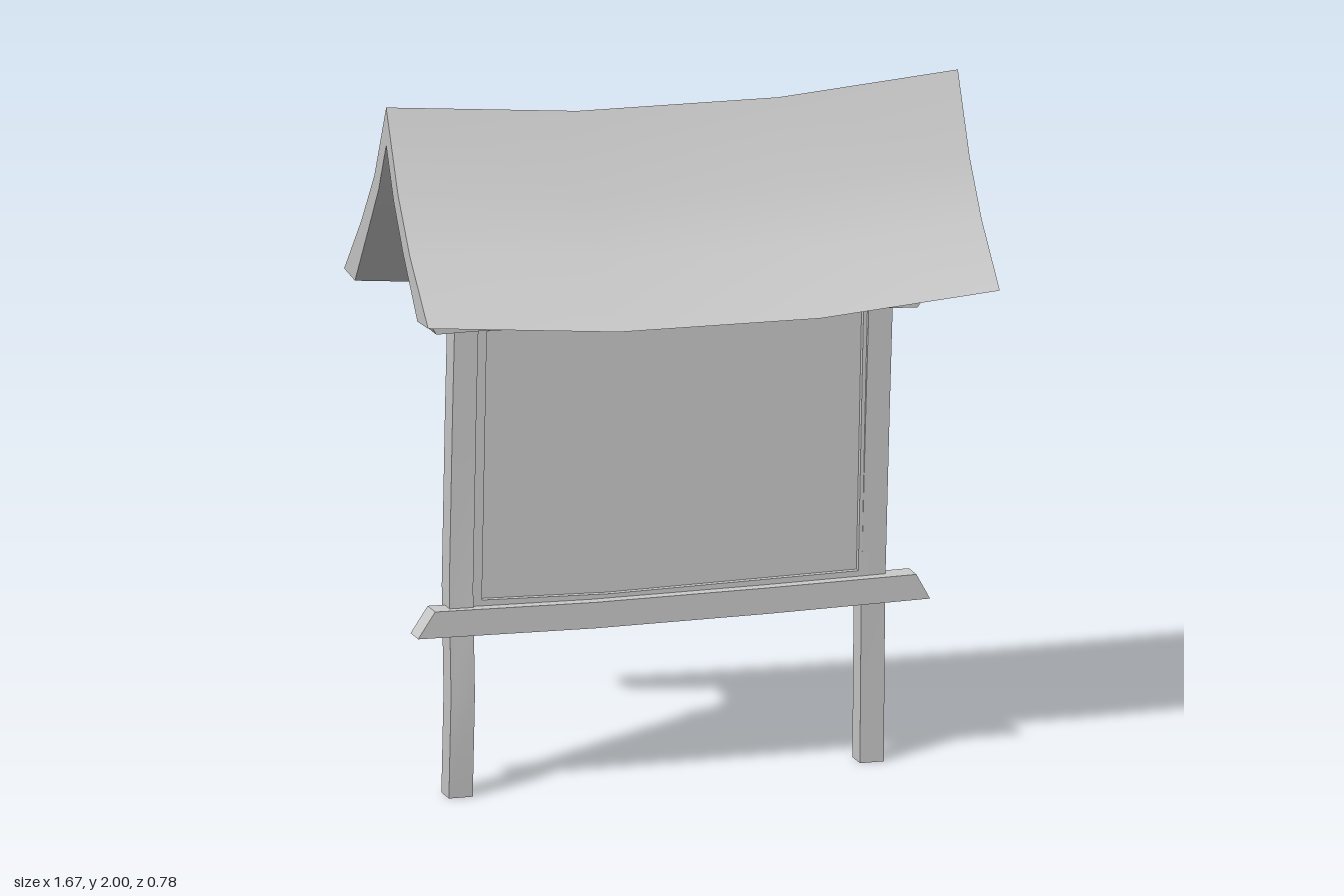
import * as THREE from 'three';
import { toCreasedNormals } from 'three/addons/utils/BufferGeometryUtils.js';

const material = new THREE.MeshStandardMaterial({ color: 0xcccccc });

// Skin matching rings of [x, y, z] points, closing both ends.
function loft(name, rings) {
  const pos = [];
  const n = rings[0].length;
  const quad = (a, b, c, d) => pos.push(...a, ...b, ...c, ...a, ...c, ...d);
  for (let r = 0; r < rings.length - 1; r++) {
    for (let i = 0; i < n; i++) {
      const j = (i + 1) % n;
      quad(rings[r][i], rings[r][j], rings[r + 1][j], rings[r + 1][i]);
    }
  }
  const first = rings[0], last = rings[rings.length - 1];
  for (let i = 0; i < n / 2 - 1; i++) {
    const ids = [i, i + 1, n - 2 - i, n - 1 - i];
    quad(...ids.map(k => last[k]));
    quad(...ids.reverse().map(k => first[k]));
  }
  const geometry = new THREE.BufferGeometry();
  geometry.setAttribute('position', new THREE.Float32BufferAttribute(pos, 3));
  const mesh = new THREE.Mesh(toCreasedNormals(geometry, 0.5), material);
  mesh.name = name;
  return mesh;
}

// Bar along x; stations are [xBottom, xTop, yBottom, yTop].
const barX = (name, stations, z0, z1) => loft(name, stations.map(([xb, xt, yb, yt]) =>
  [[xb, yb, z0], [xt, yt, z0], [xt, yt, z1], [xb, yb, z1]]));

// Upright bar; stations are [y, x centre, z centre].
const barY = (name, stations, w, d) => loft(name, stations.map(([y, x, z]) =>
  [[x - w / 2, y, z - d / 2], [x - w / 2, y, z + d / 2], [x + w / 2, y, z + d / 2], [x + w / 2, y, z - d / 2]]));

export function createModel() {
  const group = new THREE.Group();

  // Sagging gable roof: one cross-section of [z, y], lowered along the ridge
  const section = [
    [-0.39, 1.435], [-0.23, 1.615], [-0.11, 1.775], [0, 2], [0.11, 1.775], [0.22, 1.625], [0.39, 1.46],
    [0.29, 1.455], [0.155, 1.62], [0.07, 1.745], [0, 1.89], [-0.07, 1.745], [-0.155, 1.62], [-0.29, 1.425],
  ];
  const sag = [[-0.84, 0], [-0.28, -0.055], [0.31, -0.063], [0.835, -0.025]];
  group.add(loft('roof', sag.map(([x, dy]) => section.map(([z, y]) => [x, y + dy, z]))));

  // Slightly crooked posts
  group.add(barY('rightPost', [[0, -0.637, 0.015], [0.3, -0.637, 0.035], [0.6, -0.635, 0.012],
    [1.1, -0.625, 0.01], [1.52, -0.615, 0.01]], 0.07, 0.07));
  group.add(barY('leftPost', [[0, 0.573, -0.003], [0.5, 0.575, 0.003],
    [1, 0.585, 0.012], [1.52, 0.597, 0.022]], 0.07, 0.07));

  // Tapered cross ties under the roof, one on each post
  for (const [name, x] of [['rightRoofTie', -0.615], ['leftRoofTie', 0.597]]) {
    group.add(loft(name, [x - 0.04, x + 0.04].map(px =>
      [[px, 1.5, -0.235], [px, 1.595, -0.165], [px, 1.595, 0.165], [px, 1.5, 0.235]])));
  }

  // Front rails with slanted ends
  group.add(barX('upperRail', [[-0.72, -0.76, 1.355, 1.425], [-0.25, -0.25, 1.355, 1.425],
    [0.25, 0.25, 1.345, 1.415], [0.69, 0.74, 1.32, 1.39]], 0.015, 0.085));
  group.add(barX('lowerRail', [[-0.77, -0.72, 0.475, 0.55], [-0.25, -0.25, 0.465, 0.54],
    [0.25, 0.25, 0.466, 0.541], [0.73, 0.69, 0.472, 0.545]], 0.005, 0.075));

  // Notice panel and its thin raised frame
  group.add(barX('panel', [[-0.6, -0.59, 0.53, 1.38], [0.555, 0.57, 0.53, 1.36]], 0.003, 0.022));
  group.add(barX('frameTop', [[-0.59, -0.59, 1.34, 1.4], [0, 0, 1.337, 1.39], [0.57, 0.57, 1.322, 1.37]], -0.01, 0.04));
  group.add(barX('frameBottom', [[-0.61, -0.61, 0.5, 0.565], [-0.2, -0.2, 0.5, 0.552],
    [0.56, 0.56, 0.5, 0.56]], -0.01, 0.04));
  group.add(barY('frameRight', [[0.52, -0.588, 0.015], [1.38, -0.572, 0.015]], 0.03, 0.05));
  group.add(barY('frameLeft', [[0.52, 0.545, 0.015], [1.36, 0.562, 0.015]], 0.03, 0.05));

  return group;
}
